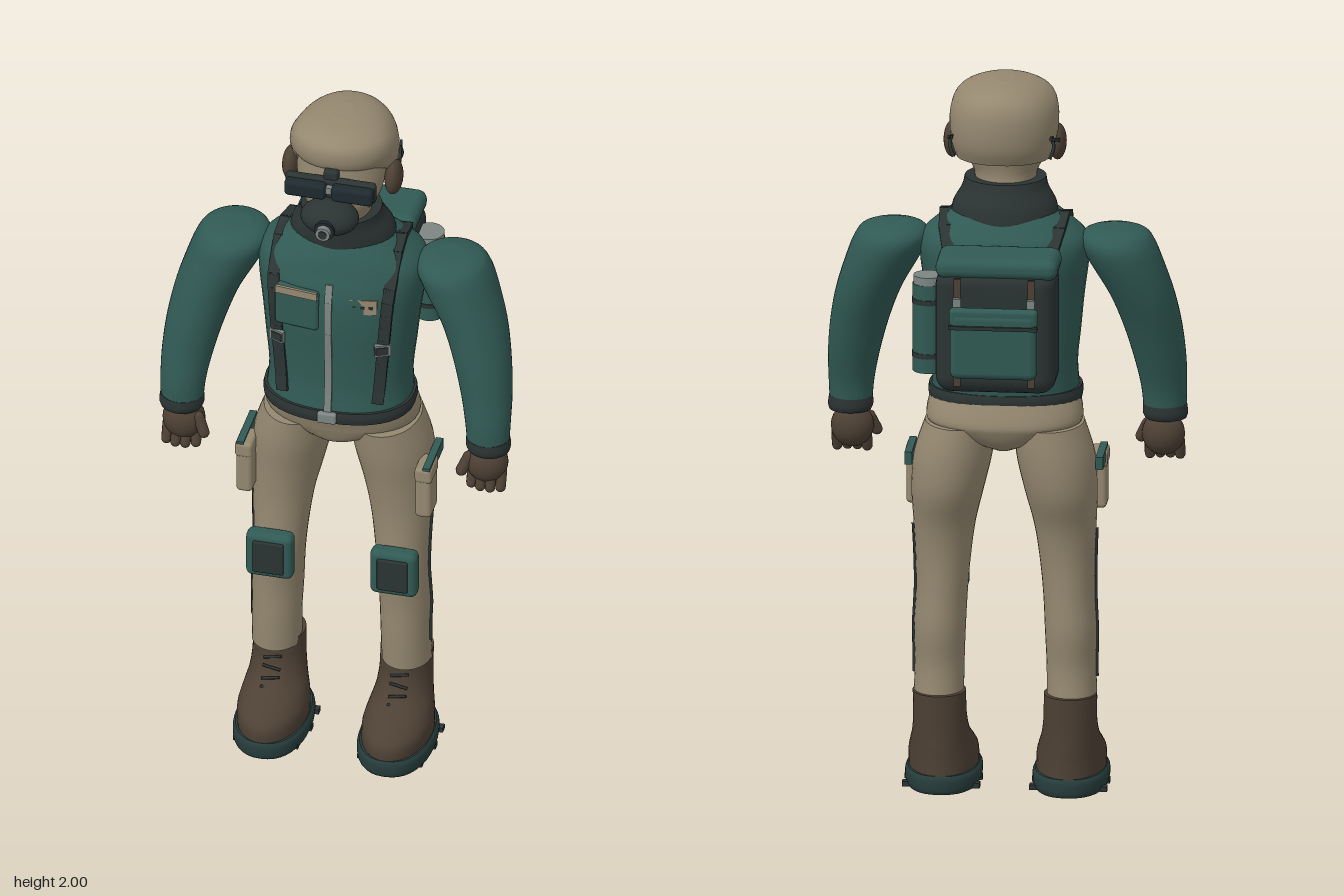
import * as THREE from 'three';
import { RoundedBoxGeometry } from 'three/addons/geometries/RoundedBoxGeometry.js';

const V = (x, y, z) => new THREE.Vector3(x, y, z);

// Smooth interpolation through rows of numbers; t runs from 0 to rows.length - 1
function sample(rows, t) {
  const i = Math.min(Math.floor(t), rows.length - 2), f = t - i;
  const at = k => rows[Math.max(0, Math.min(rows.length - 1, k))];
  return at(i).map((b, k) => {
    const a = at(i - 1)[k], c = at(i + 1)[k], d = at(i + 2)[k];
    return b + 0.5 * f * (c - a + f * (2 * a - 5 * b + 4 * c - d + f * (3 * (b - c) + d - a)));
  });
}

// Closed body from rising cross-sections [y, centreX, centreZ, radiusX, radiusZ]
function loft(rows, side = 1, power = 2, seg = 36, sub = 4) {
  const pos = [], idx = [], n = (rows.length - 1) * sub;
  for (let i = 0; i <= n; i++) {
    const [y, cx, cz, rx, rz] = sample(rows, i / sub);
    for (let j = 0; j < seg; j++) {
      const a = j / seg * Math.PI * 2, c = Math.cos(a), s = Math.sin(a);
      pos.push(side * cx + rx * Math.sign(c) * Math.abs(c) ** (2 / power), y,
        cz + rz * Math.sign(s) * Math.abs(s) ** (2 / power));
    }
  }
  for (let i = 0; i < n; i++) for (let j = 0; j < seg; j++) {
    const k = (j + 1) % seg, a = i * seg + j, b = i * seg + k;
    idx.push(a, a + seg, b, b, a + seg, b + seg);
  }
  for (const [i, row] of [[0, rows[0]], [n, rows[rows.length - 1]]]) {
    const base = pos.length / 3;
    for (let j = 0; j < seg; j++) pos.push(...pos.slice((i * seg + j) * 3, (i * seg + j) * 3 + 3));
    pos.push(side * row[1], row[0], row[2]);
    for (let j = 0; j < seg; j++) {
      const k = (j + 1) % seg;
      idx.push(base + seg, base + (i ? k : j), base + (i ? j : k));
    }
  }
  const g = new THREE.BufferGeometry();
  g.setAttribute('position', new THREE.Float32BufferAttribute(pos, 3));
  g.setIndex(idx);
  g.computeVertexNormals();
  return g;
}

const torsoRows = [[1.12, 0, .085, .2, .145], [1.2, 0, .075, .195, .145], [1.3, 0, .07, .205, .15],
  [1.4, 0, .065, .215, .16], [1.5, 0, .055, .228, .165], [1.56, 0, .05, .225, .15],
  [1.6, 0, .055, .185, .13], [1.64, 0, .06, .13, .105]];

// Depth of the jacket surface at x, y; dir is 1 for the front and -1 for the back
function jacketZ(x, y, dir = 1) {
  let i = 0;
  while (i < torsoRows.length - 2 && torsoRows[i + 1][0] < y) i++;
  const f = (y - torsoRows[i][0]) / (torsoRows[i + 1][0] - torsoRows[i][0]);
  const [, , cz, rx, rz] = sample(torsoRows, i + f);
  return cz + dir * rz * Math.max(0, 1 - Math.abs(x / rx) ** 2.3) ** (1 / 2.3);
}

export function createModel() {
  const model = new THREE.Group();
  const mat = (name, color) => Object.assign(new THREE.MeshStandardMaterial({ color }), { name });
  const teal = mat('teal cloth', 0x315a54), tan = mat('tan cloth', 0x958870), brown = mat('brown leather', 0x4d4034);
  const dark = mat('dark webbing', 0x2b3333), grey = mat('grey metal', 0x7d8684), sole = mat('sole rubber', 0x273c3c);
  const lens = mat('lens', 0x1e2a2f);

  const add = (name, geo, m, x = 0, y = 0, z = 0, rx = 0, ry = 0, rz = 0) => {
    const mesh = new THREE.Mesh(geo, m);
    mesh.name = name;
    mesh.position.set(x, y, z);
    mesh.rotation.set(rx, ry, rz);
    model.add(mesh);
    return mesh;
  };
  const box = (w, h, d) => new THREE.BoxGeometry(w, h, d);
  const soft = (w, h, d, r) => new RoundedBoxGeometry(w, h, d, 3, r);
  const cyl = (r, h, n = 24) => new THREE.CylinderGeometry(r, r, h, n);
  const ball = (x, y, z) => new THREE.SphereGeometry(1, 28, 18).scale(x, y, z);
  const tube = (pts, r) => new THREE.TubeGeometry(new THREE.CatmullRomCurve3(pts), 24, r, 6);
  // Flat strap made of short boxes along a list of points
  const ribbon = (name, pts, w, t, m) => {
    for (let i = 0; i + 1 < pts.length; i++) {
      const [p, q] = [pts[i], pts[i + 1]], c = p.clone().add(q).multiplyScalar(.5);
      const mesh = add(name, box(w, t, p.distanceTo(q) + t * .6), m, c.x, c.y, c.z);
      mesh.up.copy(V(0, c.y - 1.4, c.z - .055).normalize());
      mesh.lookAt(q);
    }
  };

  // Head, helmet with a raised front brim, collar
  add('head', loft([[1.68, 0, .07, .085, .085], [1.73, 0, .085, .085, .09], [1.78, 0, .085, .11, .1],
    [1.84, 0, .07, .122, .115], [1.9, 0, .06, .12, .12]]), tan);
  const helmet = loft([[1.79, 0, .037, .132, .125], [1.83, 0, .037, .143, .145], [1.88, 0, .037, .146, .153],
    [1.93, 0, .037, .137, .15], [1.965, 0, .037, .113, .133], [1.988, 0, .04, .075, .1],
    [2, 0, .045, .025, .04]], 1, 2.1, 40, 5);
  const hp = helmet.attributes.position;
  for (let i = 0; i < hp.count; i++) {
    const lift = THREE.MathUtils.smoothstep(hp.getZ(i), -.02, .13) * .09;
    hp.setY(i, hp.getY(i) + lift * (2 - hp.getY(i)) / .21);
    if (hp.getZ(i) > .037) hp.setX(i, hp.getX(i) * 1.01);
  }
  helmet.computeVertexNormals();
  add('helmet', helmet, tan);
  add('collar', loft([[1.6, 0, .05, .147, .118], [1.65, 0, .057, .14, .115], [1.69, 0, .068, .117, .108],
    [1.718, 0, .075, .11, .105]]), dark);

  // Goggles and breathing mask
  add('goggleBand', soft(.25, .062, .025, .01), dark, 0, 1.85, .192);
  add('goggleBridge', box(.04, .02, .03), grey, 0, 1.855, .205);
  add('goggleMount', soft(.04, .04, .03, .008), dark, 0, 1.885, .185);
  add('mask', ball(.08, .049, .06), dark, 0, 1.763, .205);
  add('maskRim', cyl(.028, .012), lens, 0, 1.757, .264, Math.PI / 2);
  add('maskVent', cyl(.02, .03), grey, 0, 1.757, .272, Math.PI / 2);
  add('maskVentCore', cyl(.012, .004), dark, 0, 1.757, .288, Math.PI / 2);

  // Jacket with zip, hem, chest pocket and patch
  add('jacket', loft(torsoRows, 1, 2.3, 44), teal);
  add('hem', loft([[1.1, 0, .085, .206, .15], [1.118, 0, .085, .209, .153], [1.136, 0, .085, .206, .15]], 1, 2.3), dark);
  add('beltBuckle', soft(.052, .032, .018, .005), grey, 0, 1.12, .238);
  const zip = [];
  for (let y = 1.135; y < 1.54; y += .05) zip.push(V(0, y, jacketZ(0, y)));
  ribbon('zip', zip, .02, .012, grey);
  add('chestPocket', soft(.125, .125, .035, .012), teal, -.0875, 1.455, .208, 0, -.12);
  add('pocketStripe', box(.12, .022, .008), tan, -.0875, 1.51, .227, 0, -.12);
  add('patch', box(.075, .045, .03), tan, .092, 1.48, .197, -.05, .15);
  for (const i of [-1, 0, 1]) add('patchMark', box(.012, .008, .006), dark, .092 + i * .022, 1.48, .211 - i * .003, 0, .15);

  // Hips
  add('hips', loft([[.965, 0, .055, .03, .06], [.99, 0, .055, .09, .11], [1.03, 0, .052, .19, .133],
    [1.06, 0, .055, .212, .14], [1.13, 0, .08, .197, .14]], 1, 2.2), tan);

  for (const s of [-1, 1]) {
    const side = s > 0 ? 'left' : 'right';
    const part = (name, ...rest) => add(side + name, ...rest);

    // Ear cup, helmet clip, goggle lens
    part('EarCup', ball(.024, .05, .044), brown, s * .142, 1.82, .062);
    part('HelmetStrap', tube([V(s * .135, 1.86, -.03), V(s * .14, 1.83, -.035), V(s * .13, 1.8, -.045)], .005), dark);
    part('HelmetClip', box(.006, .01, .09), dark, s * .142, 1.845, -.01, .3, s * .18);
    part('Lens', soft(.115, .048, .035, .012), lens, s * .065, 1.85, .212);

    // Sleeve, cuff and gloved fist
    part('Sleeve', loft([[1.06, .424, .145, .058, .055], [1.12, .422, .14, .062, .06], [1.2, .414, .122, .07, .07],
      [1.3, .396, .1, .079, .085], [1.4, .368, .075, .088, .1], [1.5, .325, .055, .1, .112],
      [1.55, .305, .05, .1, .11], [1.578, .3, .05, .083, .085], [1.59, .295, .05, .04, .04]], s), teal);
    part('Cuff', loft([[1.03, .426, .145, .056, .052], [1.045, .425, .145, .061, .058], [1.07, .424, .145, .059, .056]], s), dark);
    part('Glove', ball(.058, .06, .052), brown, s * .42, .985, .142);
    for (let i = 0; i < 4; i++)
      part('Finger', new THREE.CapsuleGeometry(.0145, .045, 4, 10), brown, s * (.382 + i * .027), .942, .155 + .012 * Math.sin(i), -.35);
    part('Thumb', new THREE.CapsuleGeometry(.016, .045, 4, 10), brown, s * .366, .985, .168, -.3, 0, s * -.4);

    // Trouser leg with side piping
    const leg = [[.255, .18, .068, .068, .08], [.35, .178, .075, .067, .078], [.45, .177, .07, .07, .085],
      [.55, .172, .075, .07, .088], [.65, .168, .07, .075, .085], [.75, .163, .06, .084, .093],
      [.85, .153, .045, .098, .117], [.95, .138, .048, .106, .13], [1.04, .12, .055, .095, .13]];
    part('TrouserLeg', loft(leg, s), tan);
    const pipe = [];
    for (let t = .7; t <= 5; t += .6) {
      const [y, cx, cz, rx] = sample(leg, t);
      pipe.push(V(s * (cx + rx), y, cz));
    }
    part('Piping', tube(pipe, .006), dark);

    // Thigh pocket, strap and knee pad
    part('ThighPocket', soft(.045, .155, .08, .012), tan, s * .248, .86, .13);
    part('ThighFlap', soft(.048, .045, .085, .01), tan, s * .249, .92, .13);
    part('ThighStrap', box(.02, .035, .15), teal, s * .258, .93, .095);
    part('KneePad', soft(.13, .14, .05, .018), teal, s * .172, .6, .175);
    part('KneePlate', soft(.085, .1, .014, .005), dark, s * .172, .6, .2);

    // Boot with laces, sole and cleats
    part('Boot', loft([[.04, .172, .135, .094, .158], [.09, .173, .135, .094, .155], [.125, .174, .11, .086, .13],
      [.16, .175, .077, .077, .096], [.21, .176, .06, .072, .08], [.275, .177, .055, .072, .077]], s), brown);
    part('Sole', loft([[0, .172, .135, .095, .158], [.012, .172, .135, .102, .164], [.04, .172, .135, .103, .165],
      [.052, .172, .135, .096, .159]], s, 2.3), sole);
    for (let i = 0; i < 4; i++)
      part('Lace', cyl(.004, .05, 8), dark, s * .176, .15 + i * .026, .176 - i * .013, 0, 0, Math.PI / 2 + (i % 2 ? .2 : -.2));
    for (const z of [.05, .13, .22]) part('Cleat', box(.21 - (z > .2 ? .03 : 0), .014, .022), dark, s * .172, .01, z);

    // Pack strap over the shoulder, with buckle
    const strap = [];
    for (let y = 1.17; y <= 1.57; y += .04) {
      const x = .132 + (y - 1.17) * .08;
      strap.push(V(s * x, y, jacketZ(x, y) + .008));
    }
    strap.push(V(s * .162, 1.607, .11), V(s * .16, 1.622, .05), V(s * .155, 1.6, -.03));
    for (const y of [1.55, 1.5, 1.45]) strap.push(V(s * .14, y, jacketZ(.14, y, -1) - .008));
    ribbon(side + 'PackStrap', strap, .032, .014, dark);
    const bz = jacketZ(.146, 1.345) + .016;
    part('StrapBuckle', box(.045, .035, .012), grey, s * .146, 1.345, bz, 0, s * .4);
    part('BuckleCore', box(.034, .024, .006), dark, s * .146, 1.345, bz + .006, 0, s * .4);

    // Pack webbing on the back
    part('PackWebbing', box(.018, .3, .01), brown, s * .1, 1.37, -.253);
    part('PocketClip', box(.022, .035, .014), grey, s * .1, 1.45, -.262);
  }

  // Backpack
  add('packBody', soft(.325, .345, .18, .045), dark, 0, 1.365, -.16);
  add('packLid', soft(.33, .058, .16, .026), teal, -.004, 1.543, -.168);
  add('packPocket', soft(.235, .185, .05, .02), teal, 0, 1.34, -.268);
  add('packPocketFlap', soft(.24, .05, .03, .012), teal, 0, 1.42, -.275);
  add('packPocketEdge', box(.24, .01, .012), dark, 0, 1.395, -.294);

  // Canister on the side of the pack
  add('canister', cyl(.042, .245), teal, .188, 1.355, -.15);
  add('canisterCap', cyl(.04, .024), grey, .188, 1.488, -.15);
  for (const y of [1.28, 1.43]) add('canisterBand', cyl(.044, .014), dark, .188, y, -.15);
  return model;
}
